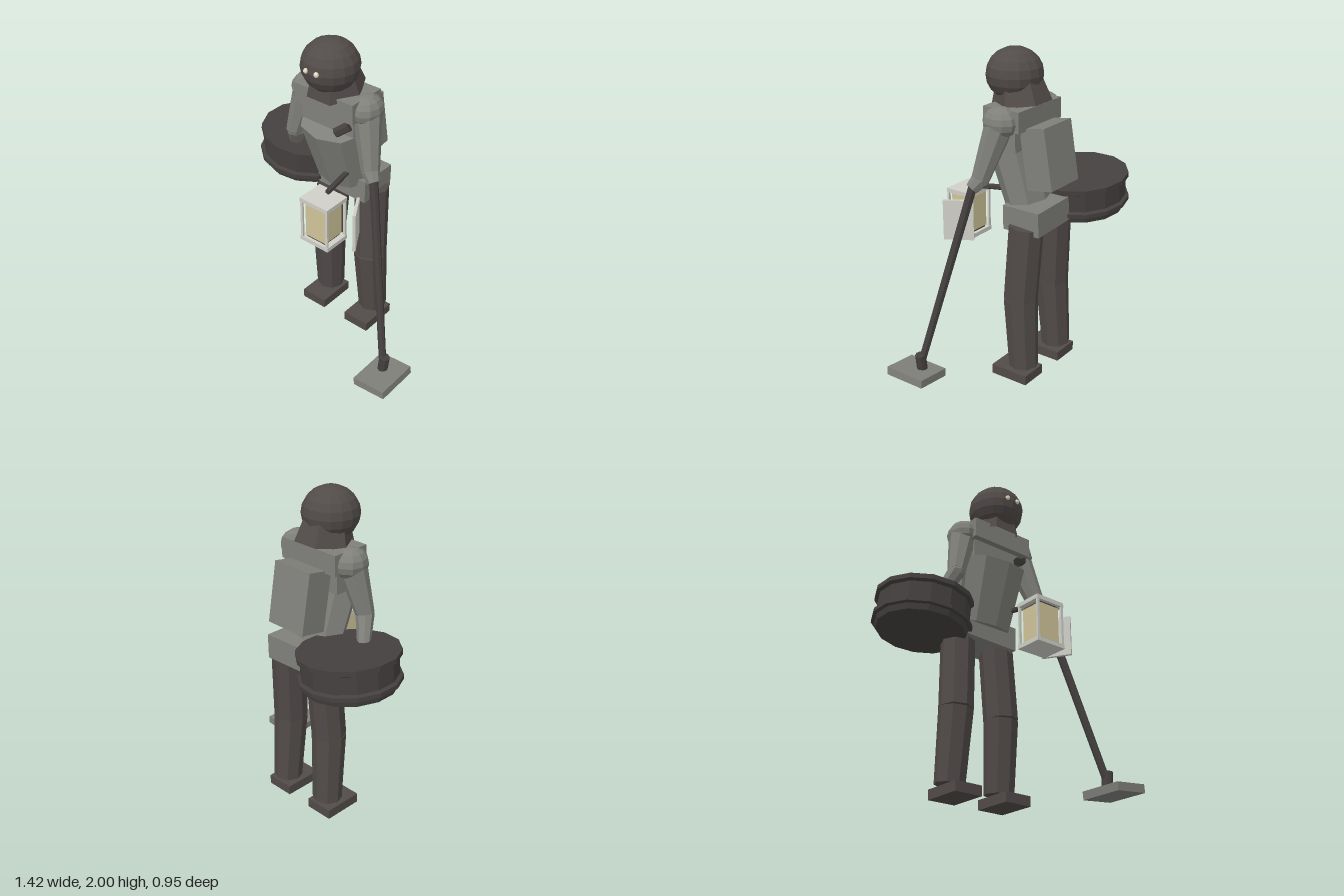
import * as THREE from 'three';

const mat = (name, color) => {
  const m = new THREE.MeshStandardMaterial({ color, flatShading: true });
  m.name = name;
  return m;
};

export function createModel() {
  const model = new THREE.Group();
  model.name = 'worker';

  const darkCloth = mat('dark cloth', 0x514b49);
  const darkMetal = mat('dark metal', 0x454040);
  const gray = mat('gray cloth', 0x80807b);
  const pale = mat('pale metal', 0xd0d0c8);
  const amber = mat('amber glass', 0xd0c49a);
  const eyeLight = mat('eye light', 0xe4dcc4);
  const hoodCloth = darkCloth.clone();
  hoodCloth.name = 'hood cloth';
  hoodCloth.side = THREE.DoubleSide;

  const add = (name, geo, m, pos = [0, 0, 0], rot = [0, 0, 0], parent = model) => {
    const mesh = new THREE.Mesh(geo, m);
    mesh.name = name;
    mesh.position.set(...pos);
    mesh.rotation.set(...rot);
    parent.add(mesh);
    return mesh;
  };
  const box = (name, m, size, pos, rot, parent) =>
    add(name, new THREE.BoxGeometry(...size), m, pos, rot, parent);

  // Tapered cylinder running from point a to point b
  const limb = (name, m, a, b, ra, rb, sides = 8) => {
    const p = new THREE.Vector3(...a), q = new THREE.Vector3(...b);
    const d = p.clone().sub(q);
    const mesh = add(name, new THREE.CylinderGeometry(ra, rb, d.length(), sides), m);
    mesh.position.copy(p).add(q).multiplyScalar(0.5);
    mesh.quaternion.setFromUnitVectors(new THREE.Vector3(0, 1, 0), d.normalize());
    return mesh;
  };

  // Head, eyes and flared hood
  add('head', new THREE.SphereGeometry(0.17, 16, 10), darkCloth, [-0.04, 1.845, 0.045]).scale.y = 0.92;
  for (const x of [-0.077, -0.003])
    add('eye', new THREE.SphereGeometry(0.016, 8, 6), eyeLight, [x, 1.855, 0.206]);
  add('hood', new THREE.CylinderGeometry(0.14, 0.182, 0.13, 6, 1, true, Math.PI / 6),
    hoodCloth, [-0.04, 1.745, 0.005], [0.14, 0, 0]).scale.x = 0.93;
  limb('neck', darkCloth, [-0.04, 1.78, 0.02], [-0.04, 1.62, 0], 0.08, 0.08);

  // Body: shoulders, chest, leaning torso, pelvis
  box('shoulders', gray, [0.425, 0.125, 0.25], [-0.04, 1.627, -0.01]);
  box('upperChest', gray, [0.38, 0.16, 0.17], [-0.04, 1.52, -0.01]);
  add('torso', new THREE.CylinderGeometry(0.21, 0.175, 0.4, 8), gray,
    [-0.04, 1.272, -0.01], [0.278, 0, 0]).scale.z = 0.66;
  box('pelvis', gray, [0.37, 0.15, 0.25], [-0.02, 1.045, -0.142], [0, 0, -0.03]);
  box('backpack', gray, [0.277, 0.365, 0.17], [-0.038, 1.405, -0.2], [0.165, 0, 0]);
  limb('chestTorch', darkMetal, [0.13, 1.535, 0.09], [0.065, 1.485, 0.13], 0.03, 0.03, 6);

  // Legs and feet
  const legs = [
    ['left', [0.115, 1.0, -0.15], [0.133, 0.53, -0.123], [0.14, 0.085, -0.15], 0.138],
    ['right', [-0.175, 1.0, -0.15], [-0.2, 0.53, -0.123], [-0.215, 0.085, -0.15], -0.215],
  ];
  for (const [side, hip, knee, ankle, footX] of legs) {
    limb(side + 'Thigh', darkCloth, hip, knee, 0.105, 0.104);
    limb(side + 'Shin', darkCloth, knee, ankle, 0.104, 0.09);
    box(side + 'Foot', darkCloth, [0.18, 0.06, 0.252], [footX, 0.03, -0.099]);
  }

  // Arms
  const arms = [
    ['left', [0.175, 1.615, -0.01], [0.265, 1.29, 0.065], [0.315, 1.235, 0.095]],
    ['right', [-0.255, 1.615, -0.01], [-0.33, 1.32, 0.03], [-0.395, 1.17, -0.045]],
  ];
  for (const [side, shoulder, elbow, hand] of arms) {
    add(side + 'Shoulder', new THREE.SphereGeometry(0.092, 10, 8), gray, shoulder).scale.z = 1.2;
    limb(side + 'UpperArm', gray, shoulder, elbow, 0.088, 0.055);
    add(side + 'Elbow', new THREE.SphereGeometry(0.055, 8, 6), gray, elbow);
    limb(side + 'Forearm', gray, elbow, hand, 0.055, 0.038);
  }

  // Round drum with raised rims, held at the right side
  const profile = [[0, -0.11], [0.27, -0.11], [0.28, -0.075], [0.3, -0.07], [0.3, -0.045],
    [0.28, -0.035], [0.28, 0.07], [0.3, 0.08], [0.3, 0.11], [0, 0.11]]
    .map(([r, y]) => new THREE.Vector2(r, y));
  add('drum', new THREE.LatheGeometry(profile, 14), darkMetal, [-0.415, 1.085, -0.18], [0, 0, -0.1]);

  // Long pole tool with a flat foot
  limb('pole', darkMetal, [0.31, 1.245, 0.09], [0.575, 0.13, 0.305], 0.026, 0.022);
  limb('poleSocket', darkMetal, [0.582, 0.205, 0.3], [0.57, 0.1, 0.3], 0.032, 0.032);
  box('poleFoot', gray, [0.22, 0.05, 0.275], [0.592, 0.082, 0.33], [0, 0, 0.1]);

  // Lantern: plates, posts, glass, open door and handle rod
  const lantern = new THREE.Group();
  lantern.name = 'lantern';
  lantern.position.set(0.103, 1.0, 0.285);
  model.add(lantern);
  for (const s of [-1, 1]) {
    box('lanternPlate', pale, [0.205, 0.026, 0.176], [0, s * 0.134, 0], [0, 0, 0], lantern);
    for (const t of [-1, 1])
      box('lanternPost', pale, [0.016, 0.25, 0.012], [s * 0.092, 0, t * 0.08], [0, 0, 0], lantern);
  }
  box('lanternGlass', amber, [0.145, 0.22, 0.145], [0, 0, 0], [0, 0, 0], lantern);
  for (const s of [-1, 1])
    box('glassCap', darkMetal, [0.135, 0.014, 0.135], [0, s * 0.115, 0], [0, 0, 0], lantern);
  box('lanternDoor', pale, [0.018, 0.25, 0.18], [0.288, 1.005, 0.218], [0, 0.55, 0]);
  limb('lanternRod', darkMetal, [0.08, 1.185, 0.04], [0.105, 1.165, 0.25], 0.017, 0.017, 6);

  return model;
}
